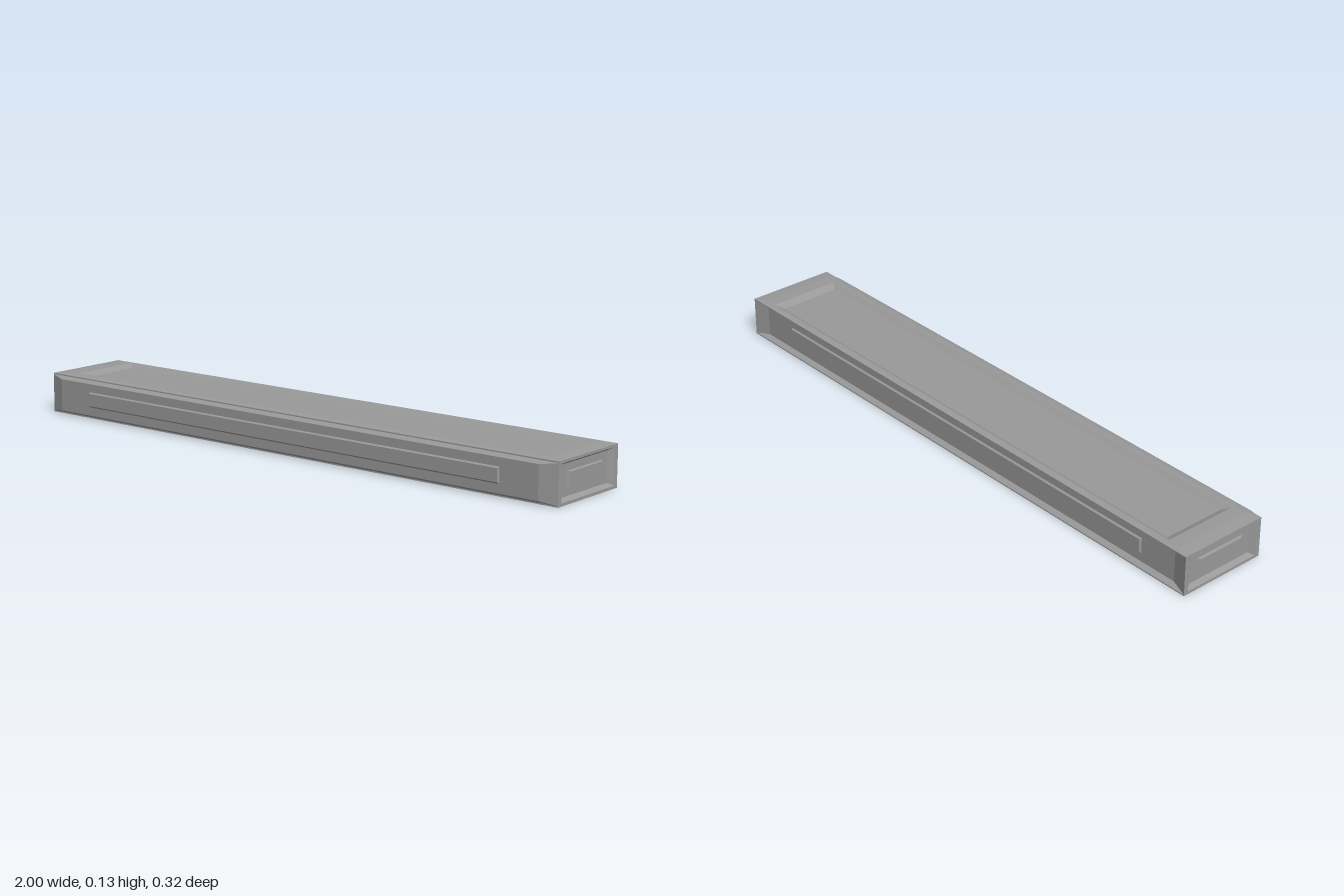
import * as THREE from 'three';

// Outward-facing local frames: (u, v, d) -> world, with u x v = d
const SIDES = {
  front: (u, v, d) => [u, v, d],
  back: (u, v, d) => [-u, v, -d],
  leftEnd: (u, v, d) => [d, v, -u],
  rightEnd: (u, v, d) => [-d, v, u],
  top: (u, v, d) => [u, d, -v],
  underside: (u, v, d) => [u, -d, v],
};

// Nested rectangles [u0, u1, v0, v1, d] joined by sloping bands, capped by the last one
function steppedPanel(rings, map) {
  const pos = [];
  const corners = ([u0, u1, v0, v1, d]) =>
    [map(u0, v0, d), map(u1, v0, d), map(u1, v1, d), map(u0, v1, d)];
  const quad = (a, b, c, d) => pos.push(...a, ...b, ...c, ...a, ...c, ...d);
  for (let i = 0; i + 1 < rings.length; i++) {
    const o = corners(rings[i]), n = corners(rings[i + 1]);
    for (let k = 0; k < 4; k++) {
      const m = (k + 1) % 4;
      quad(o[k], o[m], n[m], n[k]);
    }
  }
  quad(...corners(rings[rings.length - 1]));
  const g = new THREE.BufferGeometry();
  g.setAttribute('position', new THREE.Float32BufferAttribute(pos, 3));
  g.computeVertexNormals();
  return g;
}

export function createModel() {
  const model = new THREE.Group();
  model.name = 'panelledBar';
  const grey = new THREE.MeshStandardMaterial({ color: 0x999999 });
  grey.name = 'grey';

  const H = 0.13, F = 0.14, B = 0.16; // body height, front and back planes

  // Long sides: bevelled panel with a slim raised ridge
  const longSide = (plane, step) => [
    [-1, 1, 0, H, plane],
    [-1, 1, 0.004, 0.126, plane],
    [-0.945, 0.945, 0.013, 0.118, plane + step],
    [-0.815, 0.815, 0.041, 0.091, plane + step],
    [-0.81, 0.81, 0.046, 0.087, plane + step + 0.0055],
  ];

  // Ends: sunken tray with a raised block; u0/u1 follow the z range
  const end = (flip) => [
    [-0.14, 0.16, 0, H, 1],
    [-0.123, 0.145, 0.009, 0.122, 1],
    [-0.108, 0.128, 0.018, 0.113, 0.985],
    [-0.079, 0.1, 0.039, 0.091, 0.985],
    [-0.07, 0.09, 0.043, 0.089, 0.994],
  ].map(([a, b, ...r]) => (flip ? [-b, -a, ...r] : [a, b, ...r]));

  const panels = {
    front: longSide(F, 0.017),
    back: longSide(B, -0.016),
    leftEnd: end(false),
    rightEnd: end(true),
    // Top: low raised rim around a shallow tray
    top: [
      [-1, 1, -F, B, H],
      [-0.96, 0.96, -0.123, 0.145, 0.134],
      [-0.915, 0.915, -0.106, 0.138, 0.134],
      [-0.89, 0.89, -0.09, 0.121, 0.122],
    ],
    underside: [[-1, 1, -B, F, 0]],
  };

  for (const [name, rings] of Object.entries(panels)) {
    const mesh = new THREE.Mesh(steppedPanel(rings, SIDES[name]), grey);
    mesh.name = name + 'Panel';
    model.add(mesh);
  }
  return model;
}
